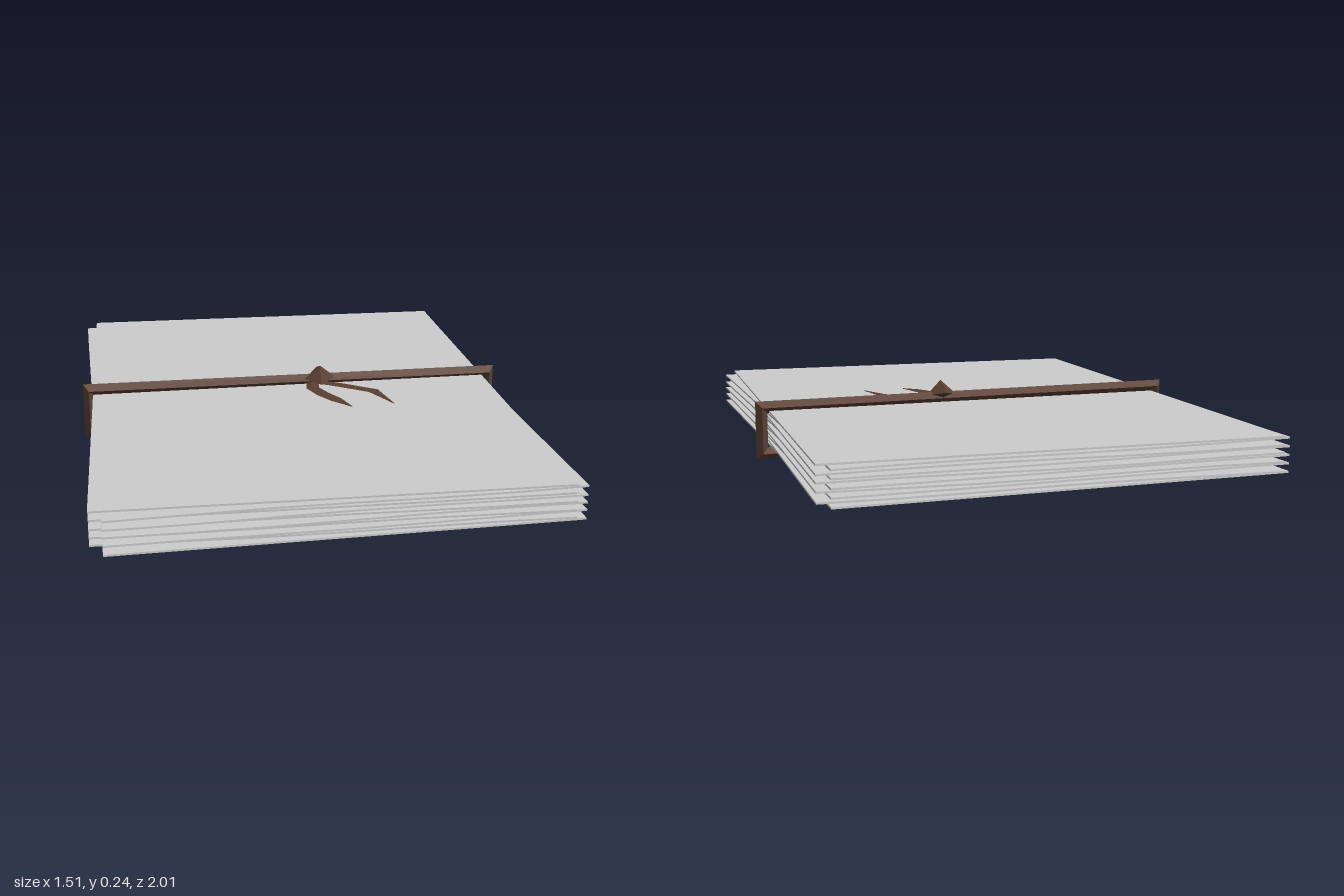
import * as THREE from 'three';
import { ConvexGeometry } from 'three/addons/geometries/ConvexGeometry.js';

const v = (x, y, z) => new THREE.Vector3(x, y, z);

// Faceted strip through four-point rings; closed joins the last ring to the first.
function sweep(rings, closed) {
  const pos = [], idx = [], n = rings.length;
  rings.forEach(r => r.forEach(p => pos.push(p.x, p.y, p.z)));
  for (let i = 0; i < (closed ? n : n - 1); i++) {
    const k = (i + 1) % n;
    for (let j = 0; j < 4; j++) {
      const a = i * 4 + j, b = i * 4 + (j + 1) % 4, c = k * 4 + (j + 1) % 4, d = k * 4 + j;
      idx.push(a, b, c, a, c, d);
    }
  }
  const g = new THREE.BufferGeometry();
  g.setAttribute('position', new THREE.Float32BufferAttribute(pos, 3));
  g.setIndex(idx);
  const flat = g.toNonIndexed();
  flat.computeVertexNormals();
  return flat;
}

// Diamond ring around c, spanned by two half-axes.
const diamond = (c, up, side) => [
  c.clone().add(up), c.clone().add(side), c.clone().sub(up), c.clone().sub(side)];

// Thin sheet with a gentle ripple.
function sheetGeometry(seed, ripple) {
  const g = new THREE.BoxGeometry(1.43, 0.006, 1.96, 6, 1, 8);
  const p = g.attributes.position;
  for (let i = 0; i < p.count; i++) {
    const x = p.getX(i), z = p.getZ(i);
    p.setY(i, p.getY(i) + ripple * Math.sin(x * 5 + seed * 2.3) * Math.cos(z * 2 + seed * 1.7));
  }
  g.computeVertexNormals();
  return g;
}

export function createModel() {
  const model = new THREE.Group();
  model.name = 'tiedPaperStack';
  const paper = new THREE.MeshStandardMaterial({ color: 0xcccccc });
  paper.name = 'paper';
  const leather = new THREE.MeshStandardMaterial({ color: 0x5c4033 });
  leather.name = 'leather';
  const add = (parent, name, geometry, material) => {
    const m = new THREE.Mesh(geometry, material);
    m.name = name;
    parent.add(m);
    return m;
  };

  // Sheets, alternately skewed and straight
  const stack = new THREE.Group();
  stack.name = 'sheets';
  model.add(stack);
  const count = 10;
  for (let i = 0; i < count; i++) {
    const skewed = i % 2 === 0;
    const outer = i === 0 || i === count - 1;
    const s = add(stack, 'sheet', sheetGeometry(i, outer ? 0 : 0.003), paper);
    s.position.set(-0.006, 0.043 + i * 0.0132, skewed ? -0.002 : -0.012);
    s.rotation.y = skewed ? 0.034 : -0.005;
  }

  // Strap looped around the stack
  const corners = [[-1, 1, 0.185, -0.045], [1, 1, 0.177, -0.085],
    [1, -1, 0.02, -0.083], [-1, -1, 0.032, -0.04]];
  const strap = corners.map(([sx, sy, y, z]) =>
    diamond(v(sx * 0.735, y, z), v(sx * 0.02, sy * 0.02, 0), v(0, 0, 0.027)));
  add(model, 'strap', sweep(strap, true), leather);

  // Knot
  add(model, 'knot', new ConvexGeometry([
    v(0.095, 0.238, -0.04), v(0.1, 0.165, -0.06), v(0.04, 0.188, -0.045),
    v(0.152, 0.188, -0.06), v(0.095, 0.205, -0.13), v(0.095, 0.178, 0)]), leather);

  // Loose strap ends: x, z, half-width
  const tails = [
    [[0.07, -0.05, 0.022], [0.06, 0.01, 0.023], [0.085, 0.08, 0.024], [0.123, 0.15, 0.022], [0.165, 0.228, 0.001]],
    [[0.1, -0.05, 0.02], [0.16, -0.01, 0.021], [0.27, 0.072, 0.022], [0.315, 0.218, 0.001]],
  ];
  for (const pts of tails) {
    const rings = pts.map(([x, z, w], i) => {
      const a = pts[Math.max(i - 1, 0)], b = pts[Math.min(i + 1, pts.length - 1)];
      const dir = v(b[0] - a[0], 0, b[1] - a[1]).normalize();
      const side = dir.cross(v(0, 1, 0)).multiplyScalar(w);
      return diamond(v(x, 0.172, z), v(0, w < 0.01 ? 0.001 : 0.006, 0), side);
    });
    add(model, 'strapEnd', sweep(rings, false), leather);
  }
  return model;
}
